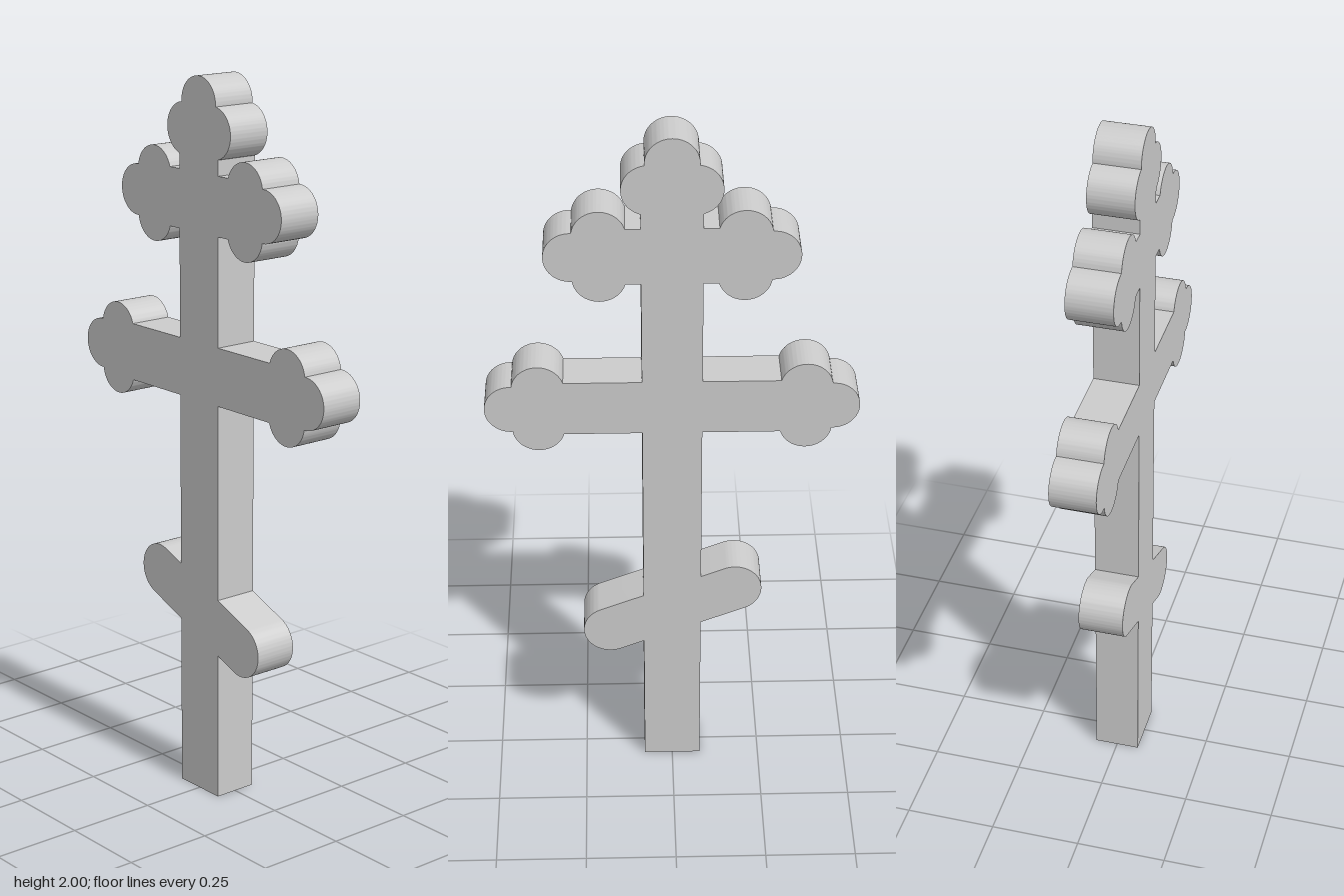
import * as THREE from 'three';
import { toCreasedNormals } from 'three/addons/utils/BufferGeometryUtils.js';

const HALF = 0.08;      // half width of post and arms
const DEPTH = 0.125;
const LOBE = 0.07;      // radius of each trefoil lobe
const BACK = 0.143;     // side lobes' distance behind the tip
const SPREAD = 0.06;    // side lobes' distance from the arm's axis

// Three-lobed arm end pointing along angle a, traced counter-clockwise
function trefoil(shape, x, y, a) {
  const c = Math.cos(a), s = Math.sin(a);
  const lobe = (u, v, from, to) =>
    shape.absarc(x + u * c - v * s, y + u * s + v * c, LOBE, a + from, a + to, false);
  const du = BACK - LOBE;
  const toTip = Math.atan2(SPREAD, du);
  const half = Math.acos(Math.hypot(du, SPREAD) / 2 / LOBE);
  const root = Math.asin((HALF - SPREAD) / LOBE);
  const tip = Math.PI - toTip - half;
  lobe(-BACK, -SPREAD, -Math.PI + root, toTip - half);
  lobe(-LOBE, 0, -tip, tip);
  lobe(-BACK, SPREAD, half - toTip, Math.PI - root);
}

function crossOutline() {
  const shape = new THREE.Shape();

  // Slanted footrest with round ends
  const slope = 0.4, restY = 0.533, restR = 0.075, restX = 0.174;
  const tilt = Math.atan(slope), rise = restR / Math.cos(tilt);
  const footrest = (side) => {
    const rootY = restY - side * slope * HALF;
    const turn = side > 0 ? 0 : Math.PI;
    shape.lineTo(side * HALF, rootY - side * rise);
    shape.absarc(side * restX, restY - side * slope * restX, restR,
      turn - Math.PI / 2 - tilt, turn + Math.PI / 2 - tilt, false);
    shape.lineTo(side * HALF, rootY + side * rise);
  };

  // Horizontal arm with its trefoil
  const arm = (side, reach, y) => {
    shape.lineTo(side * HALF, y - side * HALF);
    trefoil(shape, side * reach, y, side > 0 ? 0 : Math.PI);
    shape.lineTo(side * HALF, y + side * HALF);
  };

  shape.moveTo(-HALF, 0);
  shape.lineTo(HALF, 0);
  footrest(1);
  arm(1, 0.498, 1.21);
  arm(1, 0.33, 1.668);
  trefoil(shape, 0, 2, Math.PI / 2);
  arm(-1, 0.33, 1.668);
  arm(-1, 0.498, 1.21);
  footrest(-1);
  shape.closePath();
  return shape;
}

export function createModel() {
  const group = new THREE.Group();
  group.name = 'threeBarCross';

  const geometry = new THREE.ExtrudeGeometry(crossOutline(), {
    depth: DEPTH, bevelEnabled: false, curveSegments: 32,
  });
  geometry.translate(0, 0, -DEPTH / 2);

  const cross = new THREE.Mesh(
    toCreasedNormals(geometry, Math.PI / 9),
    new THREE.MeshStandardMaterial({ color: 0xcccccc }),
  );
  cross.name = 'crossBody';
  group.add(cross);
  return group;
}
